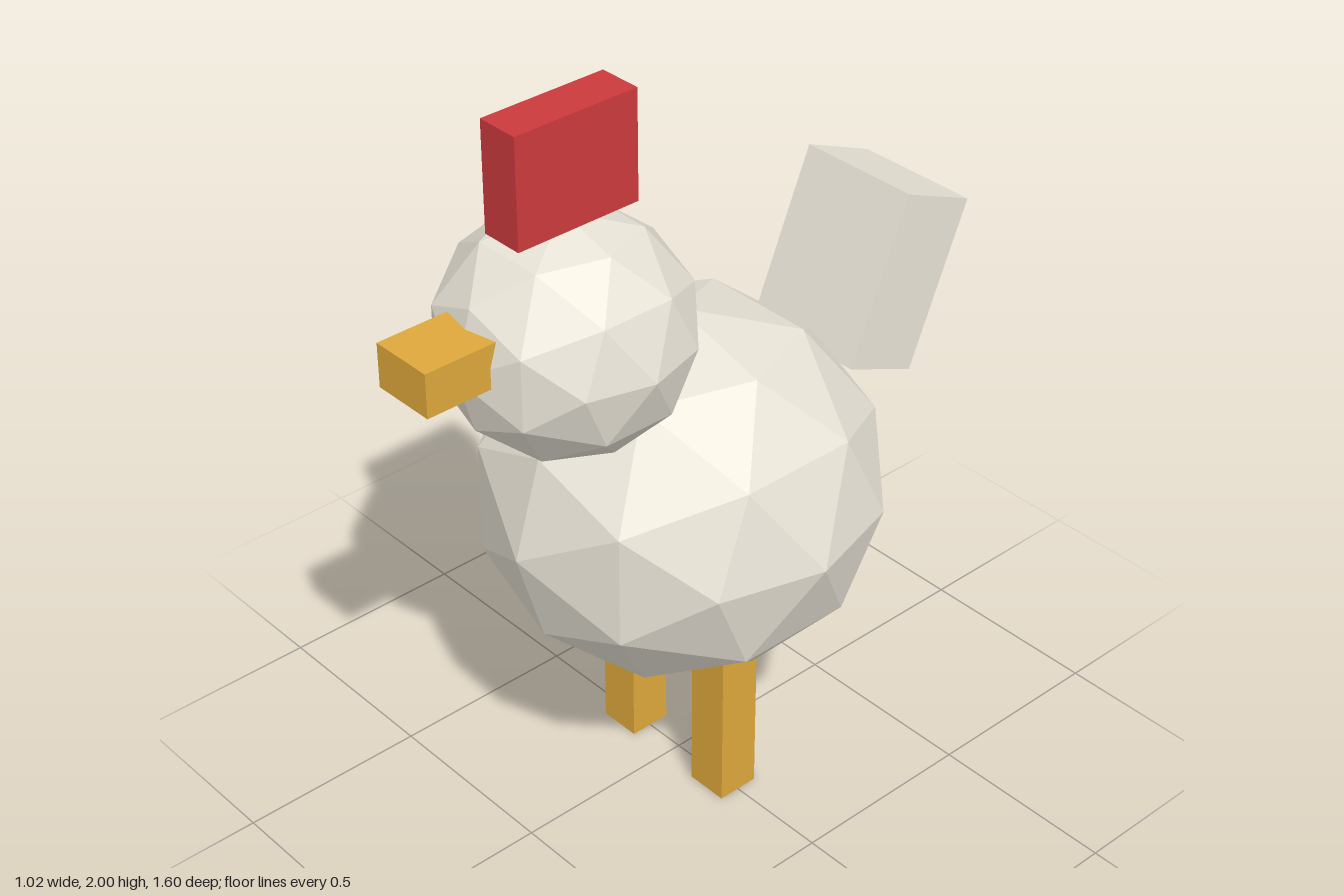
import * as THREE from 'three';

export function createModel() {
  const group = new THREE.Group();
  group.name = 'hen';

  const material = (name, color) => {
    const m = new THREE.MeshStandardMaterial({ color, flatShading: true });
    m.name = name;
    return m;
  };
  const cream = material('cream', 0xf0ebde);
  const red = material('red', 0xcc3a3d);
  const amber = material('amber', 0xdea83c);

  const add = (name, geometry, mat, x, y, z) => {
    const mesh = new THREE.Mesh(geometry, mat);
    mesh.name = name;
    mesh.position.set(x, y, z);
    group.add(mesh);
    return mesh;
  };
  // Faceted ball, slightly squashed vertically
  const ball = (r, ry) => new THREE.IcosahedronGeometry(1, 1).scale(r, ry, r);
  const box = (w, h, d) => new THREE.BoxGeometry(w, h, d);

  // Body and head
  add('body', ball(0.512, 0.486), cream, 0, 0.86, 0);
  add('head', ball(0.313, 0.301), cream, 0, 1.434, 0.345);

  // Comb and beak
  add('comb', box(0.114, 0.28, 0.343), red, 0, 1.86, 0.343);
  add('beak', box(0.17, 0.114, 0.228), amber, 0, 1.49, 0.686);

  // Tail leaning backwards
  add('tail', box(0.344, 0.457, 0.228), cream, 0, 1.245, -0.605).rotation.x = -0.4;

  // Legs
  for (const [name, side] of [['leftLeg', 1], ['rightLeg', -1]]) {
    add(name, box(0.114, 0.457, 0.114), amber, side * 0.17, 0.2285, 0);
  }

  return group;
}
